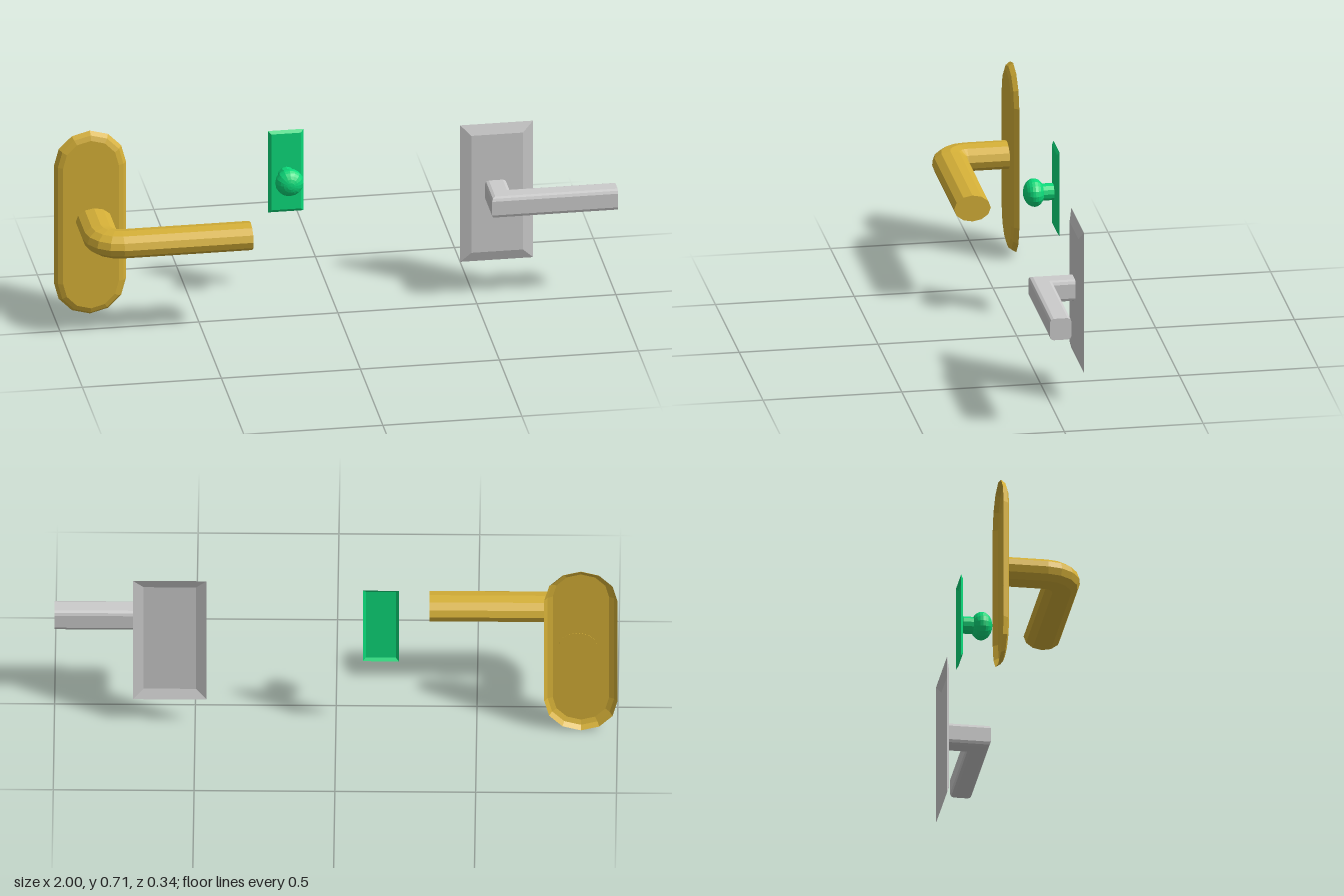
import * as THREE from 'three';

const material = (color, side = THREE.FrontSide) =>
  new THREE.MeshStandardMaterial({ color, side, flatShading: true });

// Skin a list of equal-length rings; optionally close the first and last.
function loft(rings, capStart, capEnd) {
  const pos = [];
  const tri = (...pts) => pts.forEach((p) => pos.push(p.x, p.y, p.z));
  const n = rings[0].length;
  for (let i = 0; i + 1 < rings.length; i++) {
    for (let j = 0; j < n; j++) {
      const k = (j + 1) % n;
      const a = rings[i][j], b = rings[i][k], c = rings[i + 1][k], d = rings[i + 1][j];
      tri(a, b, c);
      tri(a, c, d);
    }
  }
  const first = rings[0], last = rings[rings.length - 1];
  for (let j = 1; j + 1 < n; j++) {
    if (capStart) tri(first[0], first[j + 1], first[j]);
    if (capEnd) tri(last[0], last[j], last[j + 1]);
  }
  const geo = new THREE.BufferGeometry();
  geo.setAttribute('position', new THREE.Float32BufferAttribute(pos, 3));
  geo.computeVertexNormals();
  return geo;
}

// Counter-clockwise rectangle with rounded corners.
function roundedRect(w, h, r, segments) {
  const pts = [];
  for (let q = 0; q < 4; q++) {
    const cx = (q === 0 || q === 3 ? 1 : -1) * (w / 2 - r);
    const cy = (q < 2 ? 1 : -1) * (h / 2 - r);
    for (let s = 0; s <= segments; s++) {
      const a = ((q + s / segments) * Math.PI) / 2;
      pts.push(new THREE.Vector2(cx + r * Math.cos(a), cy + r * Math.sin(a)));
    }
  }
  return pts;
}

function rectangle(w, h) {
  return [[1, 1], [-1, 1], [-1, -1], [1, -1]].map(
    ([x, y]) => new THREE.Vector2((x * w) / 2, (y * h) / 2));
}

// Thin bevelled plate, open at the back. Steps are [z, inset] from back to front.
function plate(name, color, outline, x, y, steps) {
  const rings = steps.map(([z, inset]) =>
    outline(inset).map((p) => new THREE.Vector3(x + p.x, y + p.y, z)));
  const mesh = new THREE.Mesh(loft(rings, false, true), material(color, THREE.DoubleSide));
  mesh.name = name;
  return mesh;
}

// L-shaped lever: each frame is [x, z, axisX, axisZ], the axis pointing to the inside of the bend.
function lever(name, color, section, y, frames) {
  const rings = frames.map(([x, z, ax, az]) =>
    section.map((p) => new THREE.Vector3(x + ax * p.x, y + p.y, z + az * p.x)));
  const mesh = new THREE.Mesh(loft(rings, true, true), material(color));
  mesh.name = name;
  return mesh;
}

function goldHandle() {
  const group = new THREE.Group();
  group.name = 'roundLeverHandle';
  const gold = 0xd4af37;
  group.add(plate('ovalBackplate', gold,
    (i) => roundedRect(0.26 - 2 * i, 0.71 - 2 * i, 0.1299 - i, 3),
    -0.87, 0.355, [[-0.136, 0], [-0.119, 0.012], [-0.112, 0.03]]));

  // Elliptical bar turned around its inner corner
  const rx = 0.066, ry = 0.049;
  const section = [];
  for (let i = 0; i < 12; i++) {
    const a = (i * Math.PI) / 6;
    section.push(new THREE.Vector2(rx * Math.cos(a), ry * Math.sin(a)));
  }
  const px = -0.793, pz = 0.037;
  const frames = [[px - rx, -0.113, 1, 0]];
  for (let i = 0; i <= 4; i++) {
    const a = (i * Math.PI) / 8;
    const c = Math.cos(a), s = Math.sin(a);
    frames.push([px - rx * c, pz + rx * s, c, -s]);
  }
  frames.push([-0.33, pz + rx, 0, -1]);
  group.add(lever('roundLever', gold, section, 0.369, frames));
  return group;
}

function squareHandle() {
  const group = new THREE.Group();
  group.name = 'squareLeverHandle';
  const grey = 0xcccccc;
  group.add(plate('rectangularBackplate', grey,
    (i) => rectangle(0.262 - 2 * i, 0.53 - 2 * i),
    0.59, 0.379, [[-0.118, 0], [-0.105, 0.038]]));

  // Square bar with softened edges and a mitred corner
  const x = 0.585, z = 0.013;
  group.add(lever('squareLever', grey, roundedRect(0.078, 0.081, 0.014, 2), 0.388, [
    [x, -0.105, 1, 0],
    [x, z, 1, -1],
    [1, z, 0, -1],
  ]));
  return group;
}

function knobHandle() {
  const group = new THREE.Group();
  group.name = 'knobHandle';
  const green = 0x0bda7a;
  const x = -0.16, y = 0.479;
  group.add(plate('knobBackplate', green,
    (i) => rectangle(0.128 - 2 * i, 0.316 - 2 * i),
    x, 0.489, [[-0.171, 0], [-0.163, 0.011]]));

  const stem = new THREE.Mesh(
    new THREE.CylinderGeometry(0.031, 0.031, 0.06, 12).rotateX(Math.PI / 2), material(green));
  stem.name = 'knobStem';
  stem.position.set(x, y, -0.128);

  // Flattened ball
  const knob = new THREE.Mesh(
    new THREE.SphereGeometry(0.051, 16, 12).rotateX(Math.PI / 2).scale(1, 1, 0.76), material(green));
  knob.name = 'knob';
  knob.position.set(x, y, -0.089);
  group.add(stem, knob);
  return group;
}

export function createModel() {
  const model = new THREE.Group();
  model.name = 'doorHandles';
  model.add(goldHandle(), knobHandle(), squareHandle());
  return model;
}
